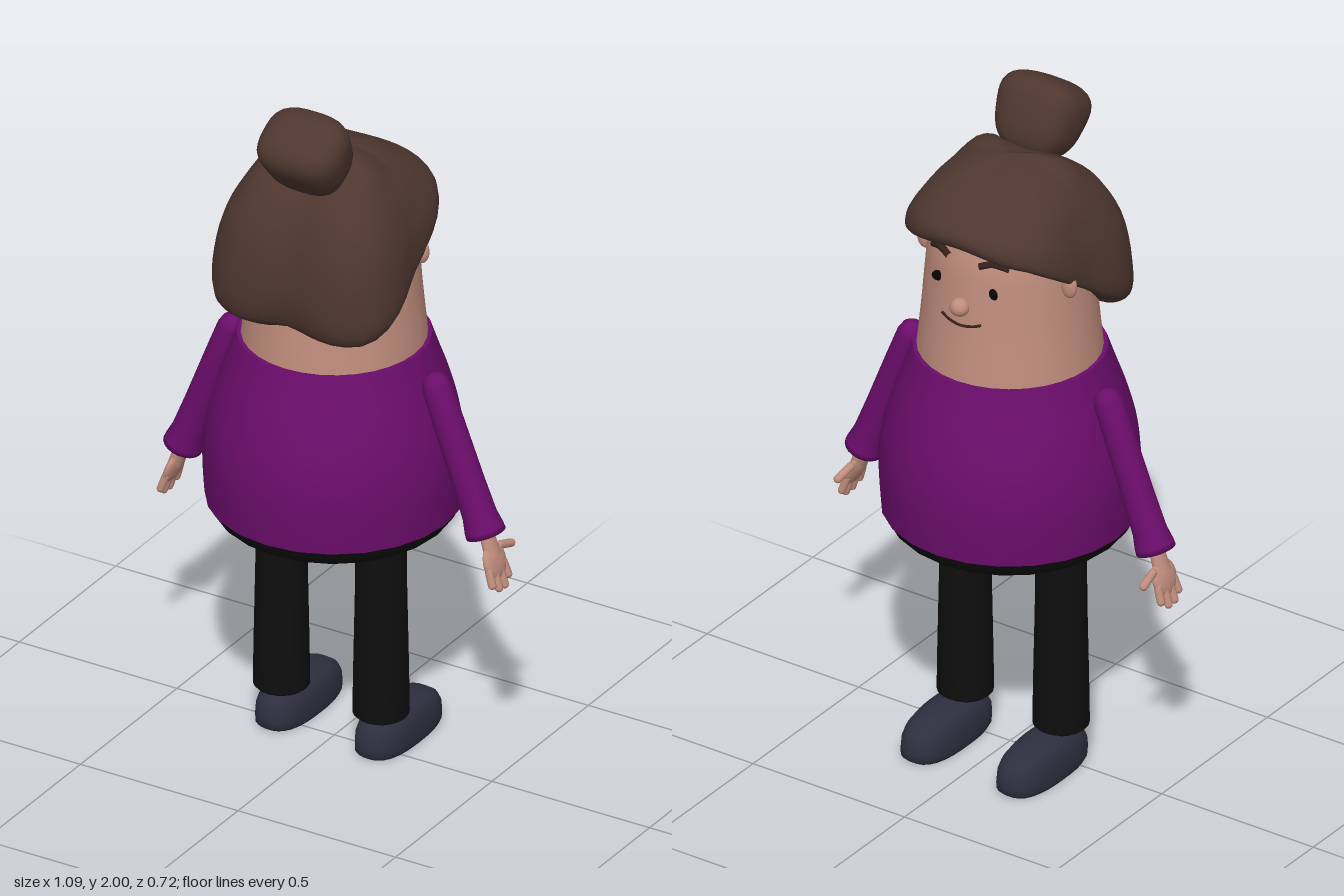
import * as THREE from 'three';
import { mergeVertices } from 'three/addons/utils/BufferGeometryUtils.js';
import { ParametricGeometry } from 'three/addons/geometries/ParametricGeometry.js';

const mat = (name, color, side = THREE.FrontSide) => {
  const m = new THREE.MeshStandardMaterial({ color, side });
  m.name = name;
  return m;
};

const vec = (pts) => pts.map(([x, y]) => new THREE.Vector2(x, y));
const lathe = (pts, sides = 24) => new THREE.LatheGeometry(vec(pts), sides);
// smooth lathe through a few profile points
const softLathe = (pts, sides = 24, steps = 28) =>
  new THREE.LatheGeometry(new THREE.SplineCurve(vec(pts)).getPoints(steps), sides);

// apply a rule to every vertex, then weld and smooth
function reshape(geo, rule) {
  const p = geo.attributes.position, v = new THREE.Vector3();
  for (let i = 0; i < p.count; i++) {
    rule(v.fromBufferAttribute(p, i));
    p.setXYZ(i, v.x, v.y, v.z);
  }
  geo.deleteAttribute('uv');
  geo.deleteAttribute('normal');
  const out = mergeVertices(geo, 1e-5);
  out.computeVertexNormals();
  return out;
}

export function createModel() {
  const root = new THREE.Group();
  const skin = mat('skin', 0xc08d7d);
  const hairBrown = mat('hair brown', 0x4e372f, THREE.DoubleSide);
  const purple = mat('purple knit', 0x6b0d6b, THREE.DoubleSide);
  const black = mat('black trousers', 0x0e0e0e, THREE.DoubleSide);
  const shoeGrey = mat('shoe grey', 0x2f2e3f);
  const eyeBlack = mat('eye black', 0x050505);
  const browBrown = mat('brow brown', 0x35211b);

  const add = (parent, name, geo, material, pos = [0, 0, 0], rot = [0, 0, 0], scale = [1, 1, 1]) => {
    const m = new THREE.Mesh(geo, material);
    m.name = name;
    m.position.set(...pos);
    m.rotation.set(...rot);
    m.scale.set(...scale);
    parent.add(m);
    return m;
  };
  const ball = new THREE.SphereGeometry(1, 20, 14);

  // torso: trouser seat, sweater, head
  add(root, 'trouserSeat', softLathe([[0.001, 0.655], [0.13, 0.66], [0.25, 0.675], [0.32, 0.705], [0.35, 0.752]]), black);
  add(root, 'sweater', softLathe([[0.352, 0.75], [0.357, 0.83], [0.357, 0.91], [0.345, 1.0], [0.318, 1.1],
    [0.29, 1.18], [0.266, 1.25]]), purple);
  add(root, 'sweaterCollar', lathe([[0.266, 1.25], [0.245, 1.25]]), purple);
  add(root, 'head', softLathe([[0.258, 1.2], [0.254, 1.25], [0.241, 1.38], [0.231, 1.5], [0.22, 1.6],
    [0.19, 1.68], [0.11, 1.74], [0.001, 1.76]], 32), skin);

  // hair: [radius, height] profiles from rim to crown, blended round the head (back, diagonals, side, front)
  const back = [[0.17, 1.38], [0.205, 1.352], [0.25, 1.39], [0.266, 1.5], [0.242, 1.62], [0.19, 1.73], [0.1, 1.81], [0.003, 1.845]];
  const backDiag = [[0.18, 1.39], [0.26, 1.352], [0.325, 1.38], [0.335, 1.48], [0.305, 1.63], [0.23, 1.75], [0.12, 1.82], [0.003, 1.845]];
  const sideP = [[0.2, 1.53], [0.24, 1.5], [0.259, 1.51], [0.26, 1.57], [0.247, 1.65], [0.205, 1.75], [0.12, 1.82], [0.003, 1.845]];
  const frontDiag = [[0.19, 1.66], [0.245, 1.62], [0.28, 1.63], [0.285, 1.665], [0.265, 1.71], [0.205, 1.765], [0.11, 1.82], [0.003, 1.845]];
  const front = [[0.19, 1.68], [0.23, 1.655], [0.258, 1.67], [0.265, 1.7], [0.24, 1.73], [0.175, 1.77], [0.1, 1.81], [0.003, 1.845]];
  const ring = [back, backDiag, sideP, frontDiag, front, frontDiag, sideP, backDiag];
  const columns = back.map((_, k) => new THREE.CatmullRomCurve3(
    ring.map((p) => new THREE.Vector3(p[k][0], p[k][1], 0)), true));
  const profileAt = new Map();
  const hairPoint = (u, v, target) => {
    if (!profileAt.has(u)) {
      profileAt.set(u, new THREE.SplineCurve(columns.map((c) => {
        const q = c.getPoint(u % 1);
        return new THREE.Vector2(q.x, q.y);
      })));
    }
    const q = profileAt.get(u).getPoint(v), a = u * Math.PI * 2;
    target.set(q.x * Math.sin(a), q.y, q.x * Math.cos(a));
  };
  add(root, 'hair', new ParametricGeometry(hairPoint, 48, 28), hairBrown);

  // bun: rounded block, narrower below, tipped backwards
  const bun = reshape(new THREE.SphereGeometry(1, 32, 24), (v) => {
    const n = Math.pow(Math.abs(v.x) ** 3 + Math.abs(v.y) ** 3 + Math.abs(v.z) ** 3, 1 / 3);
    v.divideScalar(n);
    const taper = 0.9 + 0.14 * v.y;
    v.set(v.x * 0.132 * taper, v.y * 0.112, v.z * 0.108 * taper);
  });
  add(root, 'hairBun', bun, hairBrown, [0.018, 1.875, 0.167], [0.55, 0, 0]);

  // face
  add(root, 'nose', ball, skin, [0, 1.475, -0.24], [0, 0, 0], [0.028, 0.027, 0.026]);
  const mouth = new THREE.CatmullRomCurve3([-0.065, -0.035, 0, 0.035, 0.065].map((x) =>
    new THREE.Vector3(x, 1.418 + 3.5 * x * x, -Math.sqrt(0.238 ** 2 - x * x))));
  add(root, 'mouth', new THREE.TubeGeometry(mouth, 16, 0.004, 6), browBrown);

  for (const s of [-1, 1]) {
    const side = s > 0 ? 'left' : 'right';
    add(root, side + 'Eye', ball, eyeBlack, [s * 0.09, 1.53, -0.21], [0, s * 0.4, 0], [0.019, 0.016, 0.009]);
    const brow = new THREE.CatmullRomCurve3([0.05, 0.085, 0.125].map((x, i) =>
      new THREE.Vector3(s * x, [1.607, 1.619, 1.606][i], -Math.sqrt(0.222 ** 2 - x * x))));
    add(root, side + 'Eyebrow', new THREE.TubeGeometry(brow, 10, 0.01, 8), browBrown);
    add(root, side + 'Ear', ball, skin, [s * 0.238, 1.535, -0.062], [0, 0, 0], [0.024, 0.037, 0.016]);

    // sleeve
    const sleeve = lathe([[0.001, -0.425], [0.045, -0.43], [0.056, -0.437], [0.055, -0.42], [0.048, -0.38],
      [0.045, -0.28], [0.043, -0.1], [0.041, 0], [0.035, 0.022], [0.02, 0.037], [0.001, 0.042]], 20);
    add(root, side + 'Sleeve', sleeve, purple, [s * 0.325, 1.168, 0], [0, 0, s * 0.365]);

    // hand: flat palm, four fingers, thumb forwards
    const hand = new THREE.Group();
    hand.name = side + 'Hand';
    hand.position.set(s * 0.478, 0.775, 0);
    hand.rotation.z = s * 0.32;
    root.add(hand);
    add(hand, 'wrist', new THREE.CylinderGeometry(0.026, 0.03, 0.08, 14), skin, [0, -0.04, 0], [0, 0, 0], [0.65, 1, 1]);
    add(hand, 'palm', ball, skin, [0, -0.095, 0], [0, 0, 0], [0.016, 0.052, 0.05]);
    [[-0.036, 0.165], [-0.012, 0.184], [0.013, 0.182], [0.036, 0.164]].forEach(([z, tip]) => {
      const len = tip - 0.1;
      add(hand, 'finger', new THREE.CapsuleGeometry(0.0115, len - 0.023, 4, 10), skin,
        [0, -0.1 - len / 2, z * 1.08], [-z * 3, 0, 0]);
    });
    add(hand, 'thumb', new THREE.CapsuleGeometry(0.012, 0.055, 4, 10), skin, [0, -0.075, -0.066], [1.25, 0, 0]);

    // trouser leg and shoe
    const x = s * 0.158 - 0.01;
    add(root, side + 'TrouserLeg', lathe([[0.001, 0.112], [0.07, 0.11], [0.078, 0.118], [0.076, 0.25],
      [0.071, 0.5], [0.07, 0.72]], 20), black, [x, 0, 0]);
    const shoe = reshape(lathe([[0, 0], [0.93, 0], [0.99, 0.01], [1, 0.03], [0.98, 0.06], [0.9, 0.085],
      [0.74, 0.104], [0.45, 0.113], [0, 0.115]], 32), (v) => {
      const r = Math.hypot(v.x, v.z);
      if (r > 0) {
        const n = Math.pow(Math.abs(v.x / r) ** 2.7 + Math.abs(v.z / r) ** 2.7, 1 / 2.7);
        v.x /= n;
        v.z /= n;
      }
      v.y *= 1 - 0.08 * Math.max(0, -v.z);
      v.x *= 0.075;
      v.z *= 0.17;
    });
    add(root, side + 'Shoe', shoe, shoeGrey, [x, 0, -0.09]);
  }
  return root;
}
